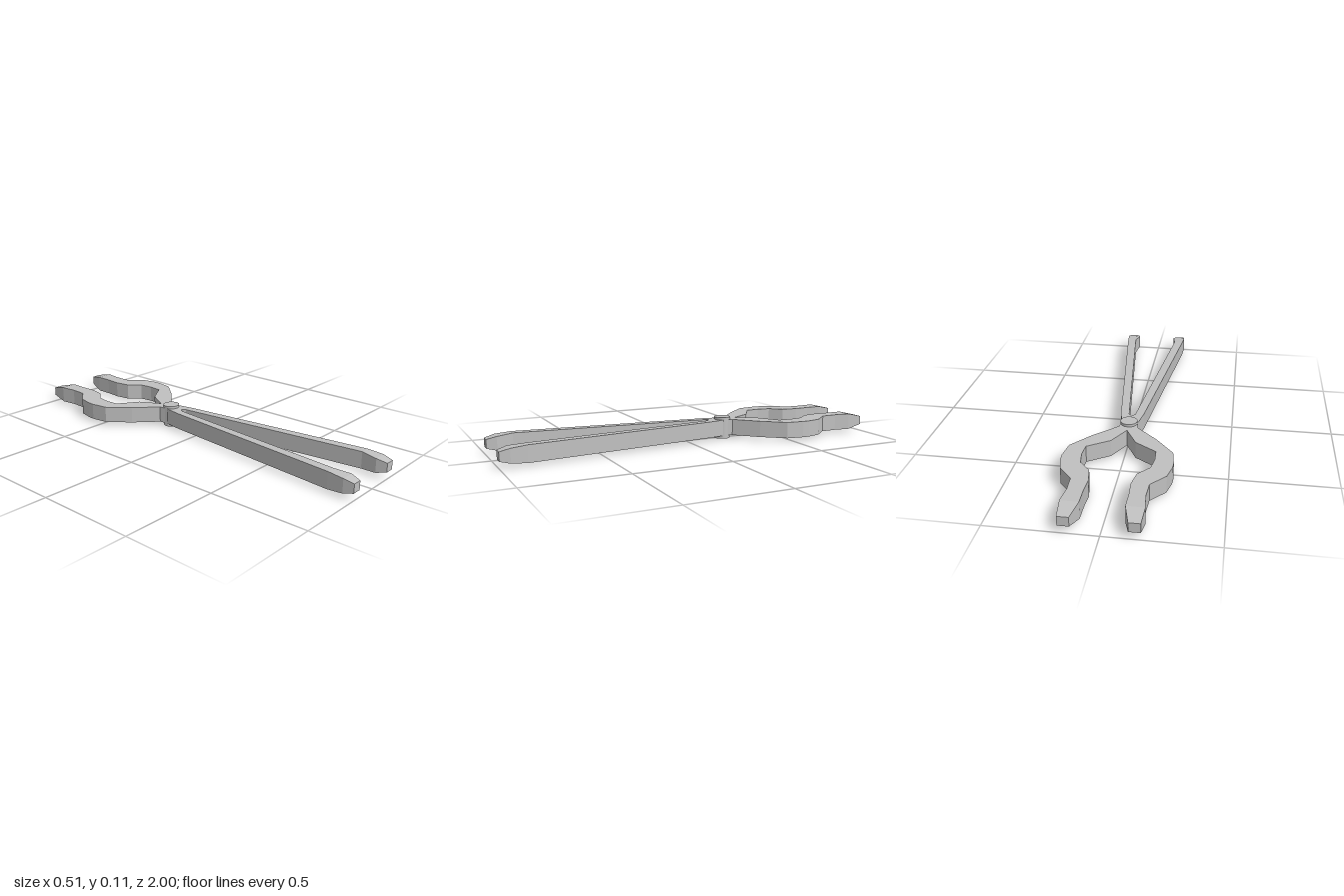
import * as THREE from 'three';

const Y0 = 0.016, Y1 = 0.1;

// Arm sections from jaw tip to handle end: left x, left z, right x, right z, [bottom y, top y]
const sections = [
  [0.125, -1, 0.177, -1, 0.035, 0.08],
  [0.1, -0.915, 0.183, -0.915],
  [0.1, -0.83, 0.172, -0.83],
  [0.095, -0.75, 0.175, -0.745],
  [0.108, -0.67, 0.24, -0.67],
  [0.16, -0.61, 0.256, -0.6],
  [0.17, -0.54, 0.258, -0.56],
  [0.165, -0.47, 0.245, -0.47],
  [0.06, -0.4, 0.155, -0.36],
  [0, -0.29, 0.045, -0.255],
  [-0.042, -0.2, 0.035, -0.185],
  [-0.058, -0.11, -0.015, -0.12],
  [-0.163, 0.87, -0.115, 0.87],
  [-0.168, 0.95, -0.1, 0.95, 0.023, 0.093],
  [-0.16, 1, -0.112, 1, 0.035, 0.08],
];

// Loft a four-cornered bar through the sections; the mirrored arm leans slightly
function armGeometry(mirrored) {
  const pos = [], idx = [];
  const lean = (z) => 0.012 * Math.abs(z + 0.22);
  for (const [lx, lz, rx, rz, y0 = Y0, y1 = Y1] of sections) {
    const [ax, az, bx, bz] = mirrored
      ? [lean(rz) - rx, rz, lean(lz) - lx, lz]
      : [lx, lz, rx, rz];
    pos.push(ax, y0, az, ax, y1, az, bx, y1, bz, bx, y0, bz);
  }
  const last = (sections.length - 1) * 4;
  for (let i = 0; i < last; i += 4) {
    for (let k = 0; k < 4; k++) {
      const n = (k + 1) % 4;
      idx.push(i + k, i + 4 + k, i + 4 + n, i + k, i + 4 + n, i + n);
    }
  }
  // end caps
  idx.push(0, 1, 2, 0, 2, 3, last, last + 3, last + 2, last, last + 2, last + 1);
  const g = new THREE.BufferGeometry();
  g.setAttribute('position', new THREE.Float32BufferAttribute(pos, 3));
  g.setIndex(idx);
  const flat = g.toNonIndexed();
  flat.computeVertexNormals();
  return flat;
}

export function createModel() {
  const model = new THREE.Group();
  model.name = 'tongs';
  const steel = new THREE.MeshStandardMaterial({ color: 0xc0c0c0 });
  steel.name = 'steel';

  const add = (name, geometry) => {
    const mesh = new THREE.Mesh(geometry, steel);
    mesh.name = name;
    model.add(mesh);
    return mesh;
  };

  // Two crossing arms, each a jaw and the opposite handle
  add('leftJawArm', armGeometry(false));
  add('rightJawArm', armGeometry(true));

  // Pivot pin with heads standing proud above and below
  add('pivotPin', new THREE.CylinderGeometry(0.042, 0.042, 0.113, 24))
    .position.set(0.002, 0.0565, -0.215);

  return model;
}
